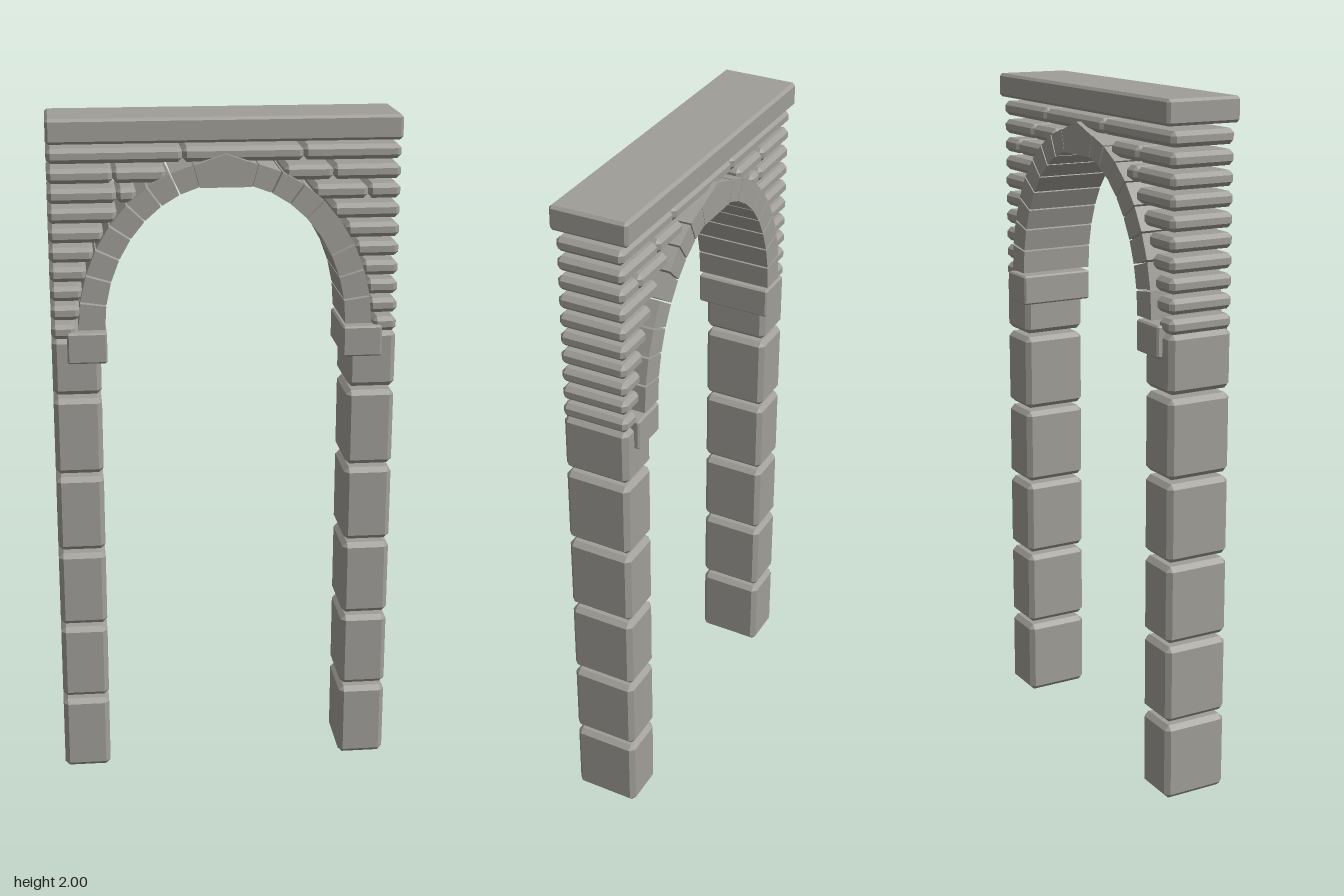
import * as THREE from 'three';
import { ConvexGeometry } from 'three/addons/geometries/ConvexGeometry.js';

const SPRING = 1.405;                  // height where the arch begins
const OUTER = { a: 0.42, b: 0.475 };   // outer and inner arch ellipses
const INNER = { a: 0.345, b: 0.412 };
const ARCH_DEPTH = 0.113;              // half depth of arch, imposts and cap
const WALL_DEPTH = 0.098;              // half depth of pillars and courses

// Box with chamfered edges, given by its limits in x and y and half depth in z
function chamferedBlock(x0, x1, y0, y1, depth, c) {
  const hx = (x1 - x0) / 2, hy = (y1 - y0) / 2, points = [];
  for (const sx of [-1, 1]) for (const sy of [-1, 1]) for (const sz of [-1, 1]) {
    points.push(
      new THREE.Vector3(sx * hx, sy * (hy - c), sz * (depth - c)),
      new THREE.Vector3(sx * (hx - c), sy * hy, sz * (depth - c)),
      new THREE.Vector3(sx * (hx - c), sy * (hy - c), sz * depth));
  }
  return new ConvexGeometry(points).translate((x0 + x1) / 2, (y0 + y1) / 2, 0);
}

// Flat-sided stone extruded through the arch
function prism(corners) {
  const shape = new THREE.Shape(corners.map(([x, y]) => new THREE.Vector2(x, y)));
  return new THREE.ExtrudeGeometry(shape, { depth: 2 * ARCH_DEPTH, bevelEnabled: false })
    .translate(0, 0, -ARCH_DEPTH);
}

export function createModel() {
  const group = new THREE.Group();
  group.name = 'stoneArchway';
  const stone = new THREE.MeshStandardMaterial({ color: 0xa09e98, flatShading: true });
  stone.name = 'greyStone';
  const add = (name, geometry) => {
    const mesh = new THREE.Mesh(geometry, stone);
    mesh.name = name;
    group.add(mesh);
  };
  // Block between two x values on the given side
  const addBlock = (name, side, xa, xb, y0, y1, depth, c) =>
    add(name, chamferedBlock(Math.min(side * xa, side * xb), Math.max(side * xa, side * xb), y0, y1, depth, c));

  for (const side of [-1, 1]) {
    const label = side > 0 ? 'left' : 'right';

    // Pillar blocks, the top one shorter
    for (let i = 0; i < 6; i++) {
      const y = i * 0.2415;
      addBlock(label + 'PillarBlock', side, 0.358, 0.498, y, i < 5 ? y + 0.229 : 1.375, WALL_DEPTH, 0.014);
    }

    // Impost under the arch
    addBlock(label + 'Impost', side, 0.34, 0.454, 1.305, 1.395, ARCH_DEPTH, 0.005);

    // Arch stones from the impost up to the keystone
    const count = 8, end = 1.357, gap = 0.006;
    const at = (e, t) => [side * e.a * Math.cos(t), SPRING + e.b * Math.sin(t)];
    for (let i = 0; i < count; i++) {
      const t0 = (i / count) * end + (i ? gap : 0);
      const t1 = ((i + 1) / count) * end - gap;
      add(label + 'ArchStone', prism([at(INNER, t0), at(OUTER, t0), at(OUTER, t1), at(INNER, t1)]));
    }
  }

  // Keystone with a slightly pointed top
  add('keystone', prism([[-0.073, 1.805], [0.073, 1.805], [0.09, 1.867], [0, 1.898], [-0.09, 1.867]]));

  // Wall courses; the top one runs right across, the rest stop at the arch
  const courseJoints = [[-0.12, 0.22], [-0.315, 0.305], [-0.305, 0.405]];
  for (let row = 0; row < 10; row++) {
    const y = 1.895 - row * 0.0555;
    const rise = Math.max(0, (y - SPRING) / OUTER.b);
    const edge = row === 9 ? 0.43 : OUTER.a * Math.sqrt(Math.max(0, 1 - rise * rise)) - 0.003;
    const spans = row === 0 ? [[-0.498, 0.498]] : [[-0.498, -edge], [edge, 0.498]];
    for (const [from, to] of spans) {
      const joints = (courseJoints[row] || []).filter(x => x > from && x < to);
      const ends = [from, ...joints, to];
      for (let i = 0; i + 1 < ends.length; i++) {
        add('wallCourseStone', chamferedBlock(ends[i], ends[i + 1], y - 0.021, y + 0.021, WALL_DEPTH, 0.012));
      }
    }
  }

  // Cap slab
  add('capSlab', chamferedBlock(-0.498, 0.498, 1.93, 2, ARCH_DEPTH, 0.008));
  return group;
}
